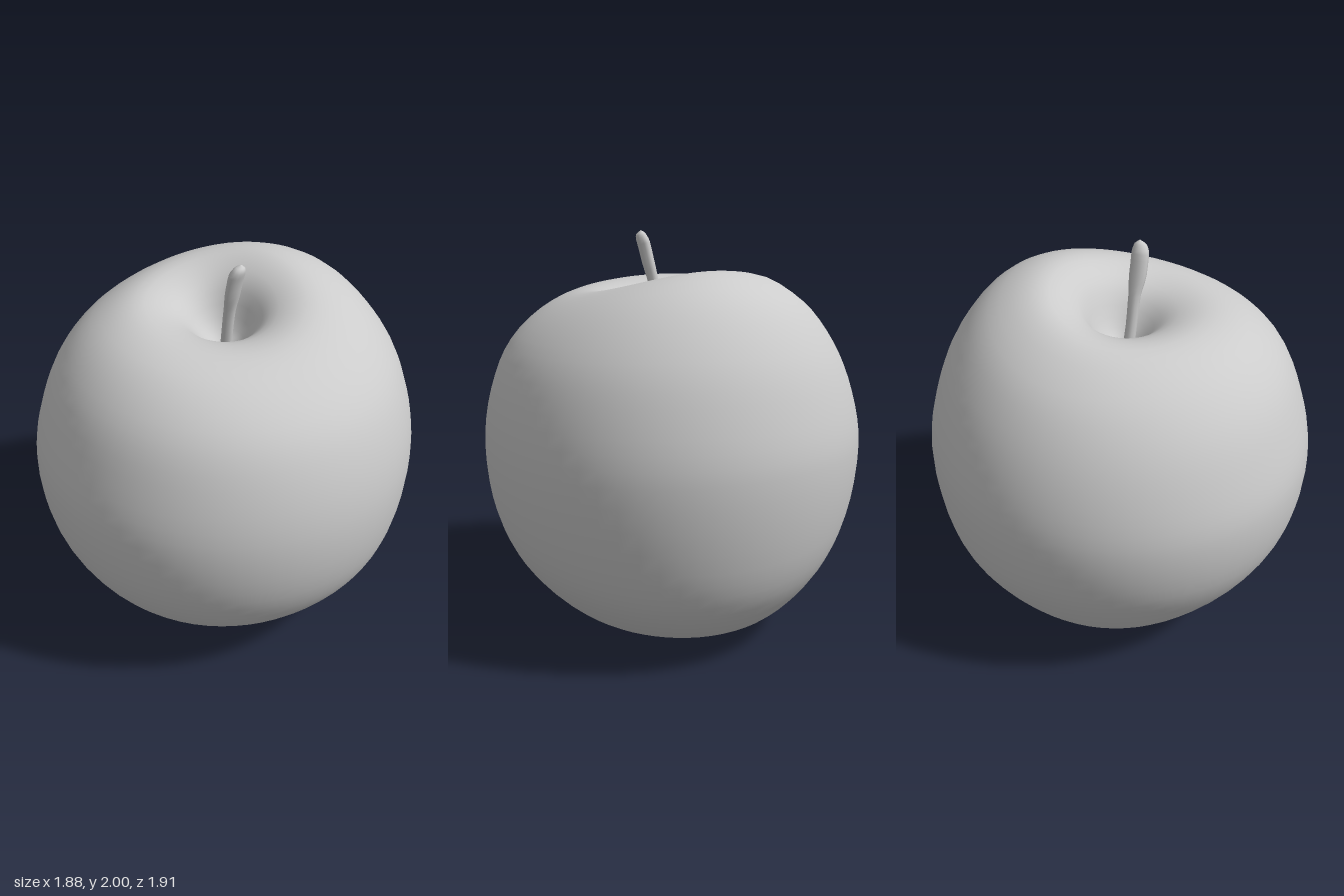
import * as THREE from 'three';

// Closed loft: point(u, angle) gives [x, y, z]; rings are welded around
function loft(point, rings, sides) {
  const pos = [], index = [];
  for (let i = 0; i <= rings; i++) {
    for (let j = 0; j < sides; j++) {
      pos.push(...point(i / rings, (j / sides) * Math.PI * 2));
      if (i === rings) continue;
      const a = i * sides + j, b = i * sides + ((j + 1) % sides);
      index.push(a, a + sides, b, b, a + sides, b + sides);
    }
  }
  const g = new THREE.BufferGeometry();
  g.setAttribute('position', new THREE.Float32BufferAttribute(pos, 3));
  g.setIndex(index);
  g.computeVertexNormals();
  return g;
}

// Half profiles (radius, height) from the lower hollow to the upper one
const LEFT = [[0, .25], [.08, .2], [.15, .07], [.25, 0], [.42, .07], [.6, .18], [.8, .4], [.9, .63],
  [.94, .95], [.9, 1.24], [.8, 1.47], [.62, 1.64], [.42, 1.72], [.24, 1.68], [.1, 1.53], [.02, 1.46]];
const FRONT = [[0, .25], [.07, .2], [.17, .09], [.28, .03], [.45, .06], [.6, .17], [.8, .4], [.92, .65],
  [.96, .97], [.91, 1.22], [.8, 1.48], [.62, 1.66], [.42, 1.72], [.24, 1.67], [.1, 1.53], [.02, 1.46]];
const RIGHT = [[0, .25], [.12, .2], [.25, .12], [.42, .07], [.53, .1], [.63, .18], [.8, .42], [.9, .65],
  [.94, .95], [.9, 1.2], [.8, 1.44], [.65, 1.63], [.42, 1.76], [.23, 1.7], [.1, 1.53], [-.02, 1.46]];
const BACK = [[0, .25], [.11, .2], [.22, .1], [.35, .05], [.47, .07], [.6, .12], [.8, .32], [.9, .57],
  [.95, 1], [.9, 1.27], [.8, 1.52], [.6, 1.76], [.36, 1.845], [.19, 1.76], [.08, 1.54], [-.02, 1.46]];

// Spline through one profile
const spline = (pts) => new THREE.CatmullRomCurve3(pts.map(([r, y]) => new THREE.Vector3(r, y, 0)));

function fruitGeometry() {
  const curves = [LEFT, FRONT, RIGHT, BACK].map(spline);
  return loft((u, a) => {
    const [l, f, r, b] = curves.map((c) => c.getPoint(u));
    // Smooth periodic blend of the four profiles
    const blend = (k) => (l[k] + f[k] + r[k] + b[k]) / 4 + ((l[k] - r[k]) / 2) * Math.cos(a)
      + ((f[k] - b[k]) / 2) * Math.sin(a) + ((l[k] + r[k] - f[k] - b[k]) / 4) * Math.cos(2 * a);
    const radius = blend('x');
    // Faint lobes around the underside
    const lobes = 0.012 * Math.cos(5 * a) * Math.exp(-(((u - 0.2) / 0.07) ** 2));
    return [radius * Math.cos(a), Math.max(0, blend('y') + lobes), radius * Math.sin(a)];
  }, 60, 64);
}

// Stem: curved path, wider from front to back near the tip
function stemGeometry() {
  const path = new THREE.CatmullRomCurve3([[.03, 1.42, .03], [.055, 1.58, .04], [.08, 1.74, .045],
    [.105, 1.84, .05], [.13, 1.94, .05], [.145, 1.98, .045], [.147, 2, .04]].map((p) => new THREE.Vector3(...p)));
  const width = spline([[.03, .03], [.027, .027], [.027, .03], [.03, .043], [.031, .043], [.024, .03], [0, 0]]);
  return loft((u, a) => {
    const p = path.getPoint(u), w = width.getPoint(u);
    return [p.x + w.x * Math.cos(a), Math.min(2, p.y - 0.2 * w.x * Math.cos(a)), p.z + w.y * Math.sin(a)];
  }, 18, 10);
}

export function createModel() {
  const group = new THREE.Group();
  const material = new THREE.MeshStandardMaterial({ color: 0xcccccc, side: THREE.DoubleSide });
  const add = (name, geometry, parent = group) => {
    const mesh = new THREE.Mesh(geometry, material);
    mesh.name = name;
    parent.add(mesh);
    return mesh;
  };

  add('fruitBody', fruitGeometry());
  add('stem', stemGeometry());

  // Dried flower remnant inside the lower hollow
  const calyx = new THREE.Group();
  calyx.name = 'calyx';
  calyx.position.set(-0.01, 0.23, -0.01);
  group.add(calyx);
  const sepal = new THREE.ConeGeometry(0.018, 0.09, 5).rotateX(Math.PI).translate(0, -0.045, 0);
  for (let i = 0; i < 5; i++) {
    const leaf = add('sepal', sepal, calyx);
    leaf.rotation.set(0, (i / 5) * Math.PI * 2, 0.55 + 0.15 * (i % 2));
  }
  return group;
}
